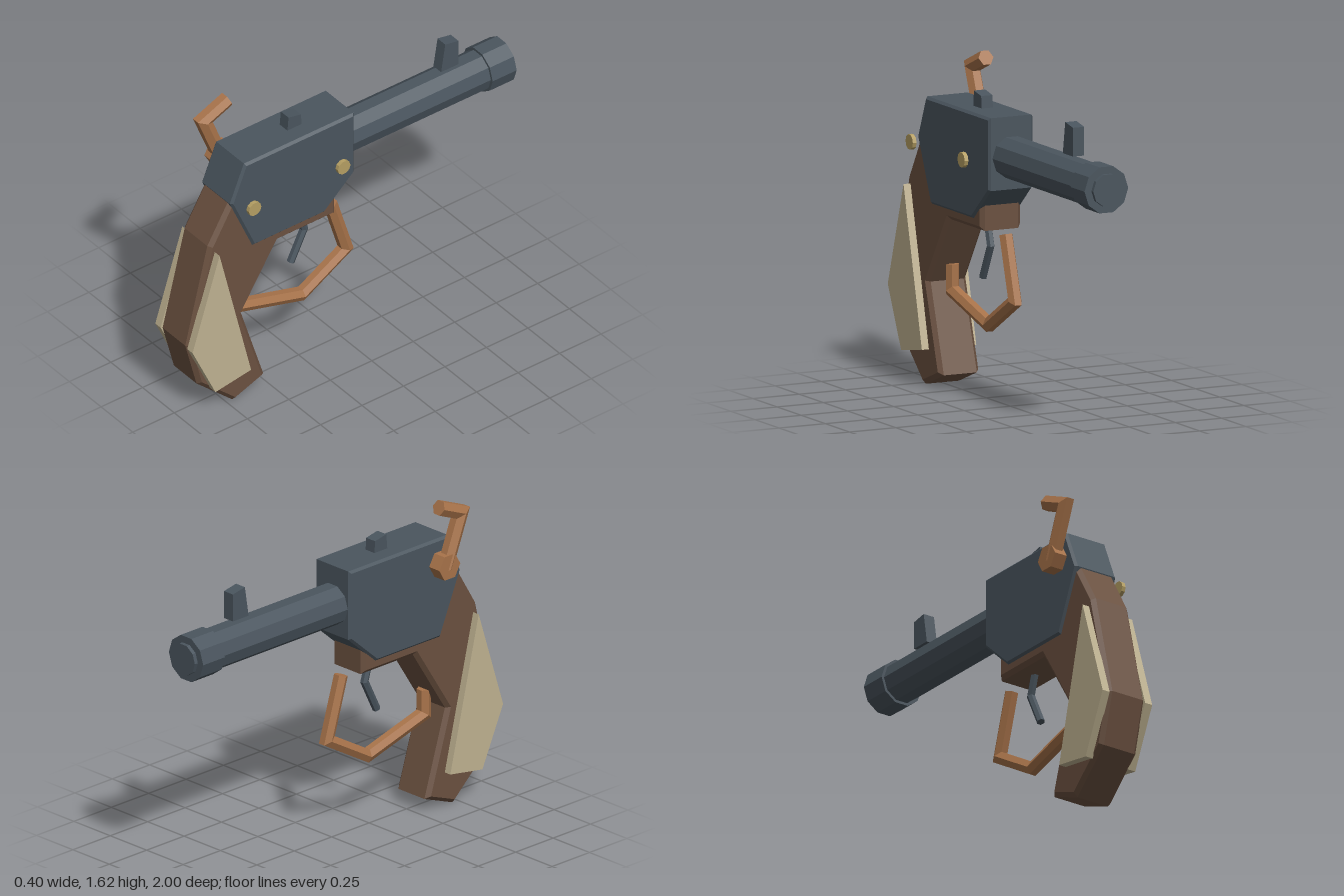
import * as THREE from 'three';

const paint = (color) => new THREE.MeshStandardMaterial({ color, flatShading: true });
const CX = -0.005; // the body sits slightly off the middle

export function createModel() {
  const model = new THREE.Group();
  model.name = 'toyPistol';
  const steel = paint(0x4a555e), wood = paint(0x6b5140), copper = paint(0xa8734a);
  const brass = paint(0xb59f63), ivory = paint(0xbfb291);

  const add = (name, geometry, material) => {
    const mesh = new THREE.Mesh(geometry, material);
    mesh.name = name;
    model.add(mesh);
    return mesh;
  };

  // Side profile of [z, y] points, extruded across x from x0 to x1 with a chamfer
  const slab = (name, points, x0, x1, bevel, material) => {
    const shape = new THREE.Shape(points.map(([z, y]) => new THREE.Vector2(-z, y)));
    const geometry = new THREE.ExtrudeGeometry(shape, {
      depth: x1 - x0 - 2 * bevel, bevelEnabled: bevel > 0, bevelThickness: bevel,
      bevelSize: bevel, bevelOffset: -bevel, bevelSegments: 1,
    });
    geometry.rotateY(Math.PI / 2).translate(x0 + bevel, 0, 0);
    return add(name, geometry, material);
  };

  // Six-sided bar with mitred bends along [z, y] points
  const bar = (name, points, radius, x, material) => {
    const n = points.length - 1;
    const path = points.map(([z, y]) => new THREE.Vector2(z, y));
    const dirs = path.slice(1).map((p, i) => path[i].clone().sub(p).normalize());
    const geometry = new THREE.CylinderGeometry(radius, radius, 1, 6, n, false, Math.PI / 6);
    const pos = geometry.attributes.position;
    for (let i = 0; i < pos.count; i++) {
      const row = Math.round((0.5 - pos.getY(i)) * n);
      const a = dirs[Math.max(row - 1, 0)], b = dirs[Math.min(row, n - 1)];
      const u = a.clone().add(b).normalize();
      const w = pos.getZ(i) / u.dot(a);
      pos.setXYZ(i, x + pos.getX(i), path[row].y - u.x * w, path[row].x + u.y * w);
    }
    geometry.computeVertexNormals();
    return add(name, geometry, material);
  };

  // Ten-sided round part along z
  const round = (name, radius, z0, z1) => {
    const geometry = new THREE.CylinderGeometry(radius, radius, z1 - z0, 10, 1, false, Math.PI / 10);
    geometry.rotateX(Math.PI / 2).translate(CX - 0.002, 1.217, (z0 + z1) / 2);
    return add(name, geometry, steel);
  };

  // Receiver
  slab('receiver', [[0.66, 1.415], [0, 1.415], [0, 1.06], [0.18, 0.9], [0.61, 0.9], [0.745, 1.21]],
    -0.125, 0.116, 0.012, steel);

  // Barrel, muzzle ring and plug
  round('barrel', 0.104, -0.85, 0.02);
  round('muzzleRing', 0.118, -0.98, -0.835);
  round('muzzlePlug', 0.081, -1, -0.95);

  // Sights
  slab('frontSight', [[-0.615, 1.49], [-0.695, 1.475], [-0.695, 1.335], [-0.59, 1.335]],
    -0.036, 0.025, 0, steel);
  slab('rearSight', [[0.33, 1.49], [0.255, 1.475], [0.25, 1.4], [0.338, 1.4]],
    -0.036, 0.025, 0, steel);

  // Wooden grip with its front block
  slab('grip', [[0.74, 1.21], [0.865, 1.0], [0.998, 0.46], [0.93, 0.2], [0.715, 0.004], [0.528, 0.075],
    [0.665, 0.51], [0.45, 0.848], [0.1, 0.848], [0.1, 1.0], [0.5, 1.21]],
    -0.114, 0.104, 0.02, wood);

  // Grip panels on both sides
  const panel = [[0.835, 0.962], [0.998, 0.45], [0.86, 0.15], [0.645, 0.185]];
  slab('leftGripPanel', panel, 0.1, 0.142, 0, ivory);
  slab('rightGripPanel', panel, -0.152, -0.11, 0, ivory);

  // Trigger and guard
  bar('trigger', [[0.25, 0.87], [0.214, 0.75], [0.295, 0.585]], 0.02, CX, steel);
  bar('triggerGuard', [[0.057, 0.83], [-0.037, 0.52], [0.23, 0.363], [0.61, 0.47], [0.61, 0.6]],
    0.035, CX, copper);

  // Hammer with its pivot
  bar('hammer', [[0.6, 1.27], [0.705, 1.535], [0.56, 1.597]], 0.04, -0.16, copper);
  const pivot = new THREE.CylinderGeometry(0.07, 0.07, 0.08, 6);
  pivot.rotateZ(Math.PI / 2).translate(-0.155, 1.288, 0.6);
  add('hammerPivot', pivot, copper);

  // Brass pins
  for (const [name, z] of [['rearPin', 0.665], ['frontPin', 0.128]]) {
    const pin = new THREE.CylinderGeometry(0.038, 0.038, 0.02, 10);
    pin.rotateZ(Math.PI / 2).translate(0.19, 1.2, z);
    add(name, pin, brass);
  }
  return model;
}
